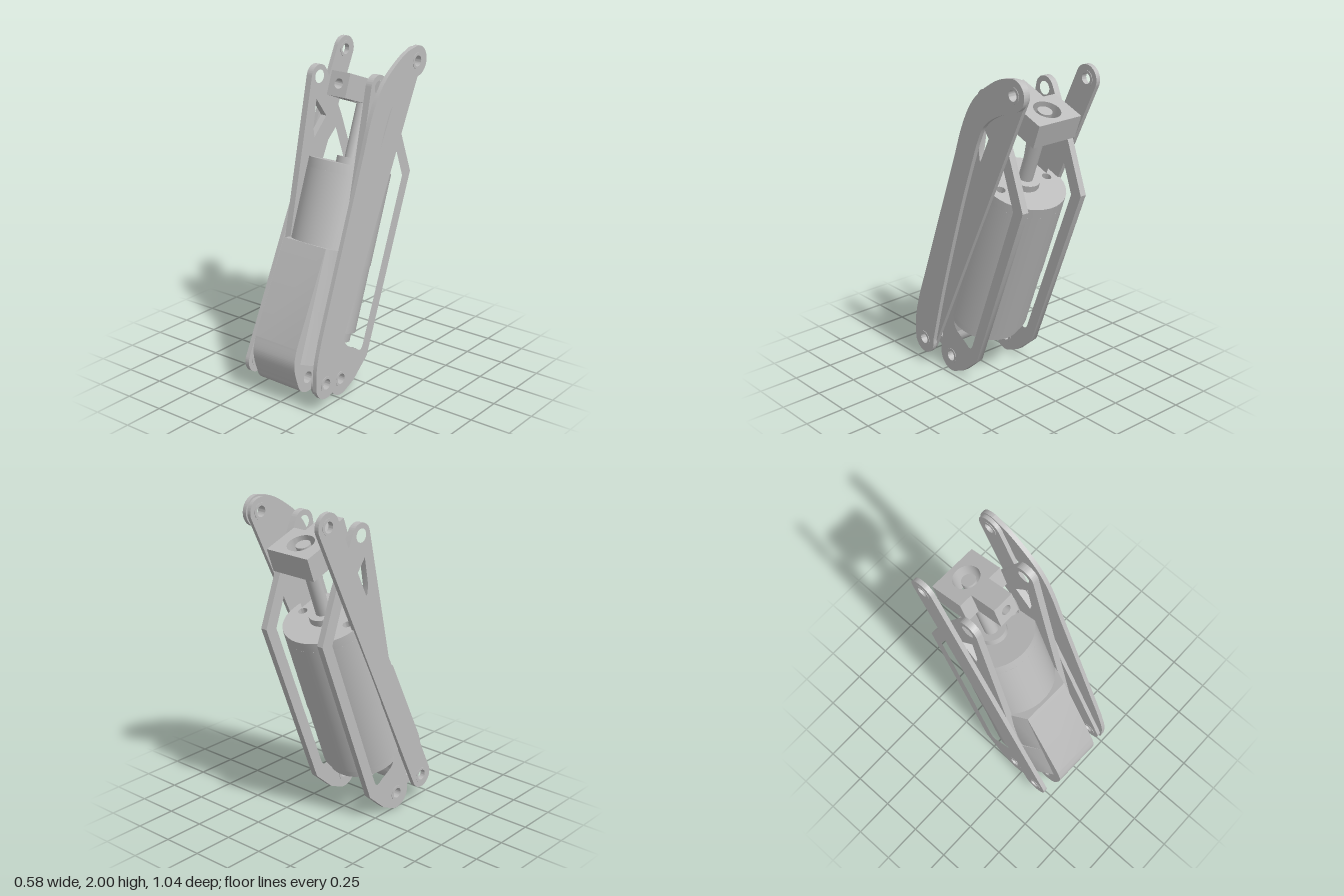
import * as THREE from 'three';
import { toCreasedNormals } from 'three/addons/utils/BufferGeometryUtils.js';

const TILT = -20 * Math.PI / 180;
const grey = new THREE.MeshStandardMaterial({ color: 0xbcbcbc });
grey.name = 'machinedGrey';

const v = (a) => a.map(([x, y]) => new THREE.Vector2(x, y));

function addMesh(parent, name, geometry) {
  const mesh = new THREE.Mesh(geometry, grey);
  mesh.name = name;
  parent.add(mesh);
  return mesh;
}

function circleHole(x, y, r) {
  const p = new THREE.Path();
  p.absarc(x, y, r, 0, Math.PI * 2, true);
  return p;
}

function extrude(shape, depth) {
  const g = new THREE.ExtrudeGeometry(shape, { depth, bevelEnabled: false, curveSegments: 20 });
  return toCreasedNormals(g, 0.6);
}

// Side profile drawn as (z, y), filling x0..x1
const sidePlate = (shape, x0, x1) =>
  extrude(shape, x1 - x0).rotateY(-Math.PI / 2).translate(x1, 0, 0);

// Plan profile drawn as (x, z), filling y0..y1
const planBlock = (shape, y0, y1) =>
  extrude(shape, y1 - y0).rotateX(Math.PI / 2).translate(0, y1, 0);

const cylinder = (r, y0, y1, seg = 48) =>
  new THREE.CylinderGeometry(r, r, y1 - y0, seg).translate(0, (y0 + y1) / 2, 0);

const LOW_FRONT = [0.4, 0.16], LOW_BACK = [0.2, 0.1];
const TOP_OUTER = [-0.435, 1.91], TOP_INNER = [-0.14, 1.8];

// Bushings lining the pin holes
function bushing(parent, [z, y], x0, x1) {
  const s = new THREE.Shape();
  s.absarc(z, y, 0.048, 0, Math.PI * 2, false);
  s.holes.push(circleHole(z, y, 0.032));
  addMesh(parent, 'bushing', sidePlate(s, x0, x1));
}

// Straight link with round ends and a pin hole at each end
function straightLinkShape() {
  const [a, b, r] = [LOW_FRONT, TOP_OUTER, 0.08];
  const ang = Math.atan2(b[1] - a[1], b[0] - a[0]);
  const s = new THREE.Shape();
  s.absarc(b[0], b[1], r, ang - Math.PI / 2, ang + Math.PI / 2, false);
  s.absarc(a[0], a[1], r, ang + Math.PI / 2, ang + Math.PI * 1.5, false);
  s.closePath();
  s.holes.push(circleHole(...a, 0.045), circleHole(...b, 0.045));
  return s;
}

// Curved cover lying over the left straight link
function curvedCoverShape() {
  const s = new THREE.Shape();
  s.moveTo(0.31, 0.18);
  s.splineThru(v([[0.2, 0.58], [0.03, 1.12], [-0.09, 1.46], [-0.145, 1.6], [-0.2, 1.69], [-0.3, 1.76], [-0.455, 1.823]]));
  s.absarc(...TOP_OUTER, 0.09, -1.8, -Math.PI * 1.5, true);
  s.splineThru(v([[-0.34, 1.98], [-0.25, 1.935], [-0.14, 1.855], [-0.06, 1.76], [0.01, 1.62], [0.07, 1.45]]));
  s.lineTo(0.44, 0.45);
  s.splineThru(v([[0.475, 0.33], [0.488, 0.25], [0.488, 0.142]]));
  s.absarc(...LOW_FRONT, 0.09, -0.2, -Math.PI, true);
  s.closePath();
  s.holes.push(circleHole(...LOW_FRONT, 0.045), circleHole(...TOP_OUTER, 0.045));
  return s;
}

// Inner side plate with a bent back strip, a long window and a small slot
function innerPlateShape() {
  const s = new THREE.Shape();
  s.moveTo(0.08, 0.045);
  s.lineTo(-0.05, 0.16);
  s.lineTo(-0.458, 1.23);
  s.lineTo(-0.345, 1.53);
  s.lineTo(-0.206, 1.83);
  s.absarc(...TOP_INNER, 0.072, 2.7, 0.2, true);
  s.lineTo(0.3, 0.14);
  s.absarc(...LOW_BACK, 0.1, 0.35, -1.9, true);
  s.closePath();
  const window = new THREE.Path();
  window.moveTo(-0.378, 1.22);
  window.lineTo(-0.29, 1.46);
  window.lineTo(-0.2, 1.38);
  window.lineTo(0.17, 0.4);
  window.quadraticCurveTo(0.18, 0.31, 0.12, 0.28);
  window.lineTo(0.05, 0.24);
  window.quadraticCurveTo(0.01, 0.2, -0.01, 0.25);
  window.closePath();
  const slot = new THREE.Path(v([[-0.11, 1.67], [-0.2, 1.55], [-0.09, 1.44], [-0.08, 1.5]]));
  slot.closePath();
  s.holes.push(circleHole(...LOW_BACK, 0.045), circleHole(...TOP_INNER, 0.04), window, slot);
  return s;
}

// Front housing with a rounded foot around the lower pin
function housingShape() {
  const s = new THREE.Shape();
  s.moveTo(0.235, 0.91);
  s.lineTo(0.14, 0.875);
  s.lineTo(0.31, 0.3);
  s.lineTo(0.31, 0.16);
  s.absarc(...LOW_FRONT, 0.09, Math.PI, Math.PI * 2 - 0.25, false);
  s.splineThru(v([[0.512, 0.22], [0.518, 0.29], [0.497, 0.37]]));
  s.closePath();
  s.holes.push(circleHole(...LOW_FRONT, 0.036));
  return s;
}

// Motor, drive head and saddles, all along the tilted axis
function buildActuator() {
  const g = new THREE.Group();
  g.name = 'actuator';
  g.position.set(-0.022, 1.29, -0.17);
  g.rotation.x = TILT;

  const motor = new THREE.Group();
  motor.name = 'motor';
  motor.position.z = -0.02;
  g.add(motor);
  const cap = new THREE.Shape();
  cap.absarc(0, 0, 0.25, 0, Math.PI * 2, false);
  for (const x of [-0.174, 0.174]) cap.holes.push(circleHole(x, 0, 0.028));
  addMesh(motor, 'motorCap', planBlock(cap, -0.06, 0));
  addMesh(motor, 'motorBody', cylinder(0.25, -0.56, -0.06));
  addMesh(motor, 'gearbox', cylinder(0.247, -0.97, -0.56));
  addMesh(motor, 'motorEndRing', cylinder(0.225, -1.03, -0.97));
  addMesh(motor, 'motorBase', new THREE.BoxGeometry(0.26, 0.06, 0.2).translate(0, -1.06, 0));
  for (const x of [-0.05, 0.05])
    addMesh(motor, 'terminal', new THREE.BoxGeometry(0.03, 0.06, 0.02).translate(x, -1.11, -0.06));
  addMesh(motor, 'shaftCollar', cylinder(0.088, 0, 0.04));
  addMesh(motor, 'shaft', cylinder(0.043, 0, 0.5, 32));

  // Drive head: bored block with a drilled tab
  const block = new THREE.Shape(v([[-0.154, -0.15], [0.154, -0.15], [0.154, 0.08], [-0.154, 0.08]]));
  block.holes.push(circleHole(0, -0.033, 0.08));
  addMesh(g, 'headBlock', planBlock(block, 0.37, 0.515));
  const tab = new THREE.Shape(v([[-0.068, 0.37], [0.068, 0.37], [0.068, 0.515], [-0.068, 0.515]]));
  tab.holes.push(circleHole(0, 0.445, 0.03));
  addMesh(g, 'headTab', extrude(tab, 0.18).translate(0, 0, 0.08));

  // Flared saddles joining the housing to the motor
  const flare = (w, back) => new THREE.Shape(v([
    [-0.157, 0.249], [-w, 0.13], [-w, back], [w, back], [w, 0.13], [0.157, 0.249]]));
  addMesh(g, 'upperSaddle', planBlock(flare(0.205, 0.08), -0.86, -0.495));
  addMesh(g, 'lowerSaddle', planBlock(flare(0.212, 0.05), -1.18, -0.86));
  return g;
}

export function createModel() {
  const model = new THREE.Group();
  model.name = 'linkageActuator';
  const body = new THREE.Group();
  body.name = 'assembly';
  body.rotation.y = -0.02;
  model.add(body);

  body.add(buildActuator());
  addMesh(body, 'frontHousing', sidePlate(housingShape(), -0.18, 0.136));

  // Inner plates on both sides
  for (const [x0, x1, name] of [[0.18, 0.222, 'leftInnerPlate'], [-0.255, -0.215, 'rightInnerPlate']]) {
    addMesh(body, name, sidePlate(innerPlateShape(), x0, x1));
    bushing(body, LOW_BACK, x0 - 0.003, x1 + 0.003);
  }

  // Outer links on both sides, the left one under a curved cover
  addMesh(body, 'leftStraightLink', sidePlate(straightLinkShape(), 0.226, 0.25));
  addMesh(body, 'rightStraightLink', sidePlate(straightLinkShape(), -0.285, -0.257));
  addMesh(body, 'curvedCover', sidePlate(curvedCoverShape(), 0.25, 0.276));
  for (const pin of [LOW_FRONT, TOP_OUTER]) {
    bushing(body, pin, 0.223, 0.279);
    bushing(body, pin, -0.287, -0.254);
  }
  return model;
}
